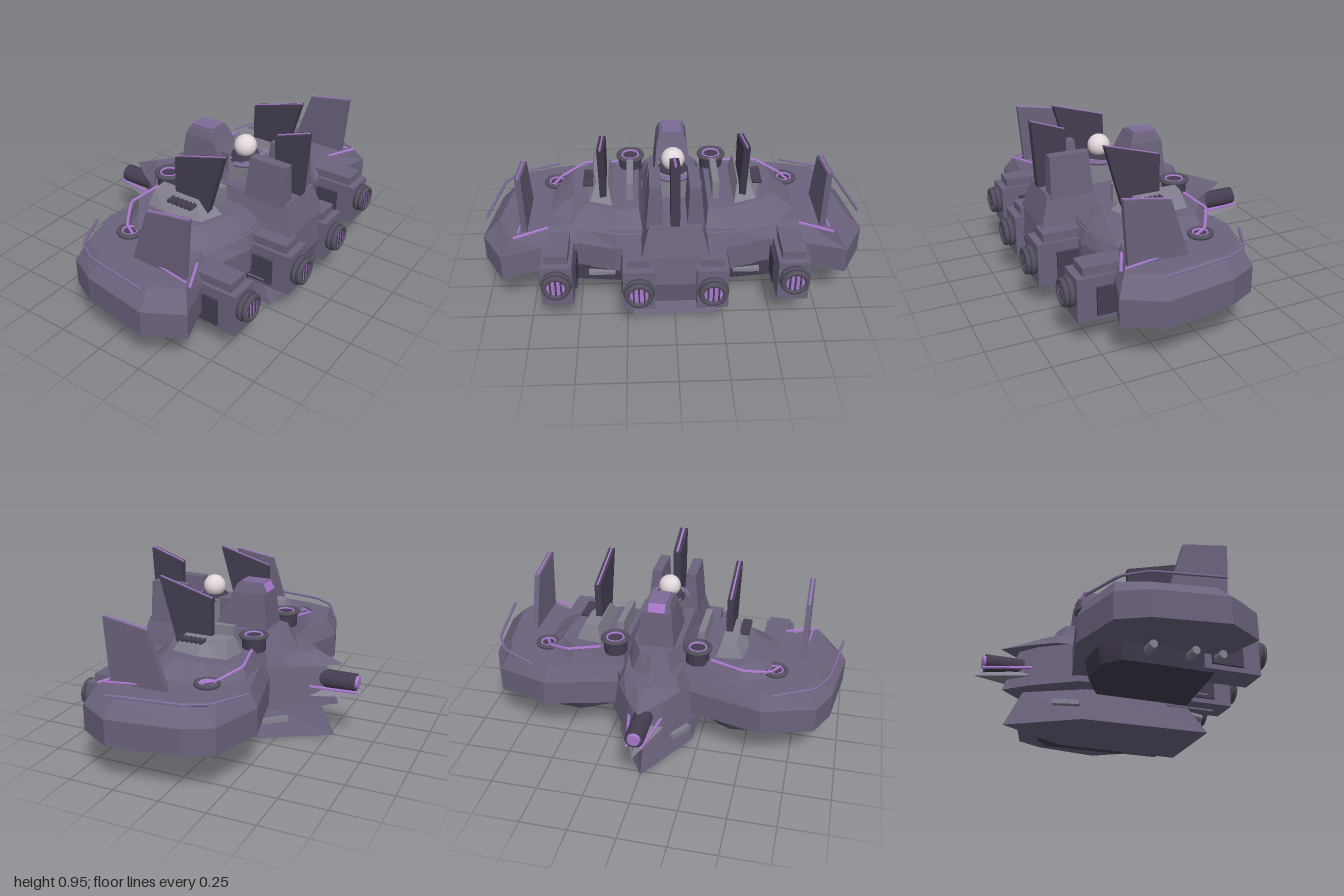
import * as THREE from 'three';

const mat = (color) => new THREE.MeshStandardMaterial({ color, flatShading: true });
const smooth = (color) => new THREE.MeshStandardMaterial({ color });

export function createModel() {
  const root = new THREE.Group();
  const hull = mat(0x6b627c), dark = mat(0x443d50), light = mat(0x85808f);
  const violet = mat(0xa878cc), conduit = mat(0x7d6a96), pale = smooth(0xe2d8dc), metal = smooth(0x55505f);

  const add = (name, geo, material, x = 0, y = 0, z = 0) => {
    const m = new THREE.Mesh(geo, material);
    m.name = name;
    m.position.set(x, y, z);
    root.add(m);
    return m;
  };
  const box = (name, material, w, h, d, x, y, z) =>
    add(name, new THREE.BoxGeometry(w, h, d), material, x, y, z);
  const cyl = (name, material, r1, r2, len, axis, x, y, z, n = 20) => {
    const g = new THREE.CylinderGeometry(r1, r2, len, n);
    if (axis === 'z') g.rotateX(Math.PI / 2);
    if (axis === 'x') g.rotateZ(-Math.PI / 2);
    return add(name, g, material, x, y, z);
  };
  const rod = (name, material, pts, r = 0.008) => {
    const path = new THREE.CurvePath();
    const v = pts.map((p) => new THREE.Vector3(...p));
    for (let i = 1; i < v.length; i++) path.add(new THREE.LineCurve3(v[i - 1], v[i]));
    return add(name, new THREE.TubeGeometry(path, (v.length - 1) * 6, r, 6), material);
  };

  // Solid skinned through stacked outlines: [y, [[x, z], ...]]; s mirrors in x
  const layers = (name, material, list, s = 1) => {
    const rings = list.map(([y, pts]) => {
      const r = pts.map(([x, z]) => new THREE.Vector3(x * s, y, z));
      const area = THREE.ShapeUtils.area(r.map((p) => new THREE.Vector2(p.x, p.z)));
      return area < 0 ? r.reverse() : r;
    });
    const out = [];
    const tri = (...p) => p.forEach((v) => out.push(v.x, v.y, v.z));
    for (let k = 1; k < rings.length; k++) {
      const a = rings[k - 1], b = rings[k];
      a.forEach((p, i) => {
        const j = (i + 1) % a.length;
        tri(p, b[j], a[j]);
        tri(p, b[i], b[j]);
      });
    }
    [[rings[0], -1], [rings[rings.length - 1], 1]].forEach(([r, up]) => {
      const flat = r.map((p) => new THREE.Vector2(p.x, p.z));
      THREE.ShapeUtils.triangulateShape(flat, []).forEach(([a, b, c]) => {
        const ccw = THREE.ShapeUtils.area([flat[a], flat[b], flat[c]]) > 0;
        if (ccw === up < 0) tri(r[a], r[b], r[c]);
        else tri(r[a], r[c], r[b]);
      });
    });
    const g = new THREE.BufferGeometry();
    g.setAttribute('position', new THREE.Float32BufferAttribute(out, 3));
    g.computeVertexNormals();
    return add(name, g, material);
  };
  // Full outline from its +x half, listed from stern to front
  const both = (half) => [...half, ...half.filter((p) => p[0] > 0).reverse().map(([x, z]) => [-x, z])];

  // Upright fin from a [z, y] side profile, with a coloured strip on its top edge
  const fin = (name, material, x, t, prof) => {
    const plate = (n, m, pts, w) => {
      const shape = new THREE.Shape(pts.map((p) => new THREE.Vector2(...p)));
      const g = new THREE.ExtrudeGeometry(shape, { depth: w, bevelEnabled: false });
      g.rotateY(-Math.PI / 2);
      add(n, g, m, x + w / 2);
    };
    plate(name, material, prof, t);
    const [a, b] = prof;
    plate(name + 'Trim', violet, [[a[0], a[1] + 0.004], [b[0], b[1] + 0.004], [b[0], b[1] - 0.006], [a[0], a[1] - 0.006]], t * 0.25);
  };

  // Keel, spear-shaped hull and prow
  layers('keel', hull, [
    [0, both([[0, -0.53], [0.21, -0.17], [0.225, 0.51]])],
    [0.2, both([[0, -0.43], [0.15, -0.12], [0.17, 0.385]])]]);
  layers('hull', hull, [
    [0.19, both([[0, -0.545], [0.1, -0.43], [0.24, -0.2], [0.28, 0.25], [0.28, 0.5], [0.19, 0.57]])],
    [0.42, both([[0, -0.46], [0.09, -0.38], [0.2, -0.2], [0.22, 0.25], [0.2, 0.5], [0.18, 0.58]])]]);
  layers('prow', hull, [
    [0.42, both([[0, -0.56], [0.09, -0.44], [0.17, -0.31], [0.2, 0]])],
    [0.48, both([[0, -0.42], [0.05, -0.38], [0.14, -0.29], [0.17, 0]])]]);
  layers('bowBlock', hull, [
    [0.14, both([[0, 0.3], [0.19, 0.3], [0.19, 0.57]])],
    [0.27, both([[0, 0.3], [0.19, 0.3], [0.19, 0.6]])],
    [0.42, both([[0, 0.3], [0.18, 0.3], [0.17, 0.58]])]]);
  layers('bridgeBase', hull, [
    [0.42, both([[0, -0.34], [0.12, -0.28], [0.18, -0.1], [0.17, 0.58]])],
    [0.58, both([[0, -0.25], [0.07, -0.22], [0.13, -0.1], [0.13, 0.53]])]]);

  // Bridge cabin, dome and ring
  layers('cabin', hull, [
    [0.57, both([[0, -0.16], [0.1, -0.16], [0.1, 0.14]])],
    [0.77, both([[0, -0.14], [0.08, -0.14], [0.08, 0.04]])],
    [0.815, both([[0, -0.12], [0.065, -0.12], [0.065, 0.02]])]]);
  box('cabinFront', hull, 0.12, 0.16, 0.13, 0, 0.64, 0.07);
  box('roofPanel', conduit, 0.1, 0.014, 0.13, 0, 0.817, -0.055);
  box('roofVisor', violet, 0.09, 0.01, 0.05, 0, 0.797, -0.13).rotation.x = -1.1;
  box('domePedestal', light, 0.14, 0.14, 0.14, 0, 0.64, 0.2);
  cyl('domeCollar', dark, 0.07, 0.085, 0.03, 'y', 0, 0.71, 0.19);
  add('dome', new THREE.SphereGeometry(0.06, 24, 16), pale, 0, 0.765, 0.19);
  const arc = new THREE.TorusGeometry(0.1, 0.014, 6, 20, Math.PI).rotateX(Math.PI / 2);
  add('domeRing', arc, conduit, 0, 0.7, 0.19);
  fin('centreFin', dark, 0, 0.045, [[0.565, 0.945], [0.38, 0.88], [0.39, 0.59], [0.545, 0.59]]);

  // Stern cannon with blade
  cyl('cannonBarrel', dark, 0.05, 0.05, 0.22, 'z', 0, 0.325, -0.53);
  cyl('cannonTip', violet, 0.04, 0.032, 0.03, 'z', 0, 0.33, -0.64);
  layers('sternBlade', light, [
    [0.25, both([[0, -0.7], [0.1, -0.41]])],
    [0.285, both([[0, -0.62], [0.06, -0.4]])]]);

  const thruster = (s, x, y, z, back) => {
    const len = z - back;
    box('thrusterHousing', hull, 0.16, 0.23, len, s * x, 0.265, back + len / 2);
    box('thrusterTop', hull, 0.12, 0.05, len * 0.85, s * x, 0.4, back + len * 0.45);
    box('thrusterCheek', dark, 0.185, 0.15, len * 0.55, s * x, 0.25, back + len * 0.4);
    cyl('thrusterCollar', dark, 0.072, 0.076, 0.05, 'z', s * x, y, z + 0.015);
    [0.022, 0.047].forEach((d, i) =>
      add('thrusterRing', new THREE.TorusGeometry(0.066 - i * 0.006, 0.014, 8, 24), metal, s * x, y, z + d - 0.006));
    cyl('thrusterGlow', violet, 0.052, 0.052, 0.01, 'z', s * x, y, z + 0.038);
    for (let i = -1; i <= 1; i++) box('thrusterSlat', dark, 0.009, 0.09, 0.01, s * x + i * 0.027, y, z + 0.042);
  };

  for (const s of [1, -1]) {
    // Wing slab with bevelled edge, upper deck and underside
    const rim = [[0.14, -0.21], [0.59, -0.325], [0.87, -0.24], [0.945, -0.09], [1, 0.28], [0.89, 0.47], [0.68, 0.4], [0.5, 0.36], [0.3, 0.42], [0.14, 0.42]];
    layers('wing', hull, [
      [0.225, rim], [0.365, rim],
      [0.455, [[0.14, -0.17], [0.57, -0.275], [0.81, -0.21], [0.86, -0.07], [0.91, 0.26], [0.83, 0.42], [0.68, 0.34], [0.52, 0.3], [0.3, 0.39], [0.14, 0.39]]]], s);
    layers('wingDeck', hull, [
      [0.44, [[0.16, -0.2], [0.48, -0.22], [0.62, -0.13], [0.67, 0], [0.67, 0.22], [0.55, 0.33], [0.3, 0.4], [0.16, 0.4]]],
      [0.53, [[0.18, -0.17], [0.44, -0.18], [0.54, -0.1], [0.54, 0], [0.52, 0.15], [0.45, 0.24], [0.3, 0.3], [0.18, 0.29]]]], s);
    layers('wingUnderside', dark, [
      [0.14, [[0.22, -0.1], [0.42, -0.21], [0.58, -0.2], [0.66, -0.12], [0.66, 0.35], [0.5, 0.37], [0.22, 0.4]]],
      [0.23, [[0.16, -0.12], [0.42, -0.23], [0.6, -0.22], [0.68, -0.13], [0.68, 0.37], [0.5, 0.37], [0.16, 0.42]]]], s);

    // Raised armour block with a row of ribs
    layers('armourBlock', light, [
      [0.5, [[0.31, -0.13], [0.47, -0.11], [0.49, 0.05], [0.45, 0.24], [0.31, 0.29]]],
      [0.615, [[0.34, -0.09], [0.42, -0.08], [0.42, 0.06], [0.4, 0.16], [0.34, 0.18]]]], s);
    for (let i = 0; i < 6; i++) cyl('armourRib', dark, 0.011, 0.011, 0.05, 'x', s * 0.445, 0.605, 0.04 + i * 0.026, 8);

    fin('innerFin', dark, s * 0.365, 0.035, [[0.315, 0.895], [0.02, 0.81], [0.02, 0.48], [0.2, 0.48]]);
    fin('outerFin', hull, s * 0.768, 0.03, [[0.4, 0.79], [0.16, 0.75], [0.06, 0.44], [0.375, 0.44]]);

    // Towers beside the centre fin and slim blocks along the bridge
    layers('tower', hull, [
      [0.56, [[0.06, 0.28], [0.145, 0.28], [0.145, 0.515], [0.06, 0.515]]],
      [0.785, [[0.07, 0.3], [0.125, 0.3], [0.125, 0.51], [0.07, 0.51]]]], s);
    box('bridgeRail', light, 0.035, 0.12, 0.25, s * 0.225, 0.57, 0.09);

    // Round turrets
    [[0.225, 0.56, -0.145, 0.065], [0.635, 0.435, -0.08, 0.055]].forEach(([x, y, z, r]) => {
      cyl('turretDrum', dark, r, r * 0.95, 0.08, 'y', s * x, y - 0.005, z);
      add('turretRim', new THREE.TorusGeometry(r, 0.013, 8, 28).rotateX(Math.PI / 2), metal, s * x, y + 0.035, z);
      add('turretLine', new THREE.TorusGeometry(r * 0.7, 0.006, 6, 24).rotateX(Math.PI / 2), violet, s * x, y + 0.037, z);
    });

    // Violet conduits and edge rods
    rod('deckConduit', violet, [[s * 0.66, 0.47, -0.03], [s * 0.61, 0.48, -0.12], [s * 0.48, 0.52, -0.2], [s * 0.3, 0.54, -0.165]]);
    rod('edgeRod', conduit, [[s * 0.975, 0.478, 0.28], [s * 0.92, 0.473, -0.08], [s * 0.85, 0.465, -0.2], [s * 0.64, 0.455, -0.3]]);
    rod('finRod', violet, [[s * 0.82, 0.455, 0.43], [s * 0.65, 0.46, 0.35]]);
    rod('finStay', violet, [[s * 0.8, 0.46, 0.4], [s * 0.77, 0.47, 0.16]], 0.006);
    rod('sternRod', violet, [[s * 0.09, 0.3, -0.39], [s * 0.035, 0.285, -0.66]]);

    thruster(s, 0.185, 0.27, 0.64, 0.33);
    thruster(s, 0.6, 0.29, 0.59, 0.29);

    // Guns and bolts low on the sides
    cyl('frontGun', light, 0.018, 0.018, 0.12, 'z', s * 0.165, 0.11, 0.45, 10).rotation.x = 0.12;
    const keelFin = box('keelFin', light, 0.03, 0.025, 0.14, s * 0.155, 0.1, -0.24);
    keelFin.rotation.set(0.12, s * 0.5, 0);
    [0.355, 0.215, 0].forEach((z) => cyl('sideBolt', light, 0.021, 0.021, 0.12, 'x', s * 0.69, 0.2, z, 12));
    box('frontBlade', light, 0.14, 0.018, 0.05, s * 0.38, 0.2, 0.385);
  }
  return root;
}
